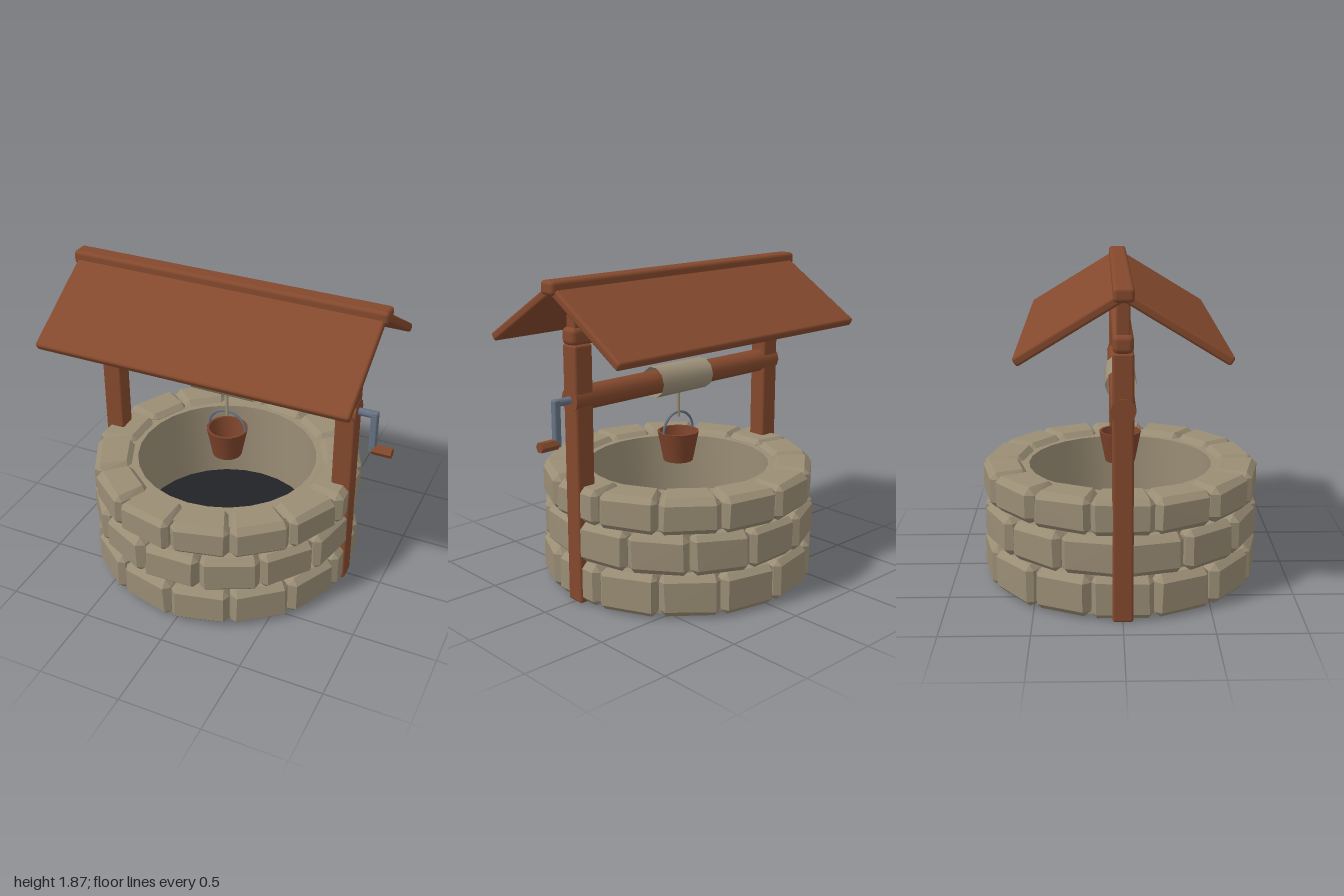
import * as THREE from 'three';
import { toCreasedNormals } from 'three/addons/utils/BufferGeometryUtils.js';
import { RoundedBoxGeometry } from 'three/addons/geometries/RoundedBoxGeometry.js';
import { ConvexGeometry } from 'three/addons/geometries/ConvexGeometry.js';

const CX = -0.035; // axis of the well

function paint(name, color, side = THREE.FrontSide) {
  const m = new THREE.MeshStandardMaterial({ color, side });
  m.name = name;
  return m;
}

export function createModel() {
  const root = new THREE.Group();
  root.name = 'well';
  const wood = paint('wood', 0x84492d);
  const bucketWood = paint('bucketWood', 0x7c432b, THREE.DoubleSide);
  const stone = paint('stone', 0x9a8d75);
  const ropeTan = paint('rope', 0x9c9078, THREE.DoubleSide);
  const metal = paint('metal', 0x667182);
  const dark = paint('darkWater', 0x222326, THREE.DoubleSide);

  const add = (name, geo, mat, x = 0, y = 0, z = 0, parent = root) => {
    const mesh = new THREE.Mesh(geo, mat);
    mesh.name = name;
    mesh.position.set(x, y, z);
    parent.add(mesh);
    return mesh;
  };
  const beam = (name, w, h, d, r, x, y, z) =>
    add(name, new RoundedBoxGeometry(w, h, d, 2, r), wood, x, y, z);
  // Faceted cylinder lying along x
  const rod = (r, len, sides, open = false) =>
    toCreasedNormals(new THREE.CylinderGeometry(r, r, len, sides, 1, open).rotateZ(Math.PI / 2), 0.85);

  let seed = 7;
  const jitter = (a) => {
    seed = (seed * 16807) % 2147483647;
    return (seed / 2147483647 - 0.5) * 2 * a;
  };

  // Chamfered wedge: every corner is cut into three points
  function stoneGeometry(angle, half, y0, y1, r0, r1) {
    const b = 0.035, pts = [];
    const ym = (y0 + y1) / 2, rm = (r0 + r1) / 2;
    for (const su of [-1, 1]) for (const sv of [-1, 1]) for (const sw of [-1, 1]) {
      const corner = jitter(0.006);
      for (let k = 0; k < 3; k++) {
        const cut = (i) => (k === i ? 0 : b + corner);
        const r = rm + sw * ((r1 - r0) / 2 - cut(2));
        const a = angle + su * (half - cut(0) / 0.8);
        const y = ym + sv * ((y1 - y0) / 2 - cut(1));
        pts.push(new THREE.Vector3(r * Math.sin(a), y, r * Math.cos(a)));
      }
    }
    return new ConvexGeometry(pts);
  }

  // Three staggered courses of stones
  const COUNT = 14, step = (Math.PI * 2) / COUNT;
  const rows = [[0.008, 0.253, 0.5], [0.257, 0.492, 0], [0.497, 0.705, 0.5]];
  rows.forEach(([y0, y1, shift], n) => {
    const course = new THREE.Group();
    course.name = 'stoneCourse' + (n + 1);
    course.position.x = CX;
    root.add(course);
    for (let i = 0; i < COUNT; i++) {
      const geo = stoneGeometry((i + shift) * step, step * 0.492,
        y0, y1 + jitter(0.004), 0.585, 0.822 + jitter(0.006));
      add('stone', geo, stone, 0, 0, 0, course);
    }
  });

  // Inner wall and the dark water inside it
  const profile = [[0.73, 0], [0.73, 0.675], [0.55, 0.675], [0.55, 0], [0.73, 0]]
    .map(([r, y]) => new THREE.Vector2(r, y));
  add('wall', toCreasedNormals(new THREE.LatheGeometry(profile, 28), 0.6), stone, CX);
  add('water', new THREE.CircleGeometry(0.56, 28).rotateX(-Math.PI / 2), dark, CX, 0.16);

  // Posts with short king posts above the tie beam
  for (const s of [-1, 1]) {
    const x = CX + s * 0.759;
    beam('post', 0.122, 1.51, 0.116, 0.015, x, 0.755, 0);
    beam('kingPost', 0.09, 0.28, 0.074, 0.01, x, 1.69, 0);
  }
  beam('tieBeam', 1.66, 0.1, 0.112, 0.03, CX, 1.555, 0);

  // Roof
  beam('ridge', 1.925, 0.078, 0.11, 0.022, -0.037, 1.832, 0);
  const slope = 0.555, drop = 0.338;
  for (const s of [-1, 1]) {
    const panel = beam('roofPanel', 1.88, 0.052, Math.hypot(slope, drop), 0.016,
      CX, 1.825 - drop / 2, s * slope / 2);
    panel.rotation.x = s * Math.atan2(drop, slope);
  }

  // Winding roller, rope coil and hanging rope
  add('roller', rod(0.07, 1.645, 10), wood, CX, 1.2);
  add('ropeCoil', rod(0.093, 0.405, 10, true), ropeTan, CX, 1.2);
  add('rope', new THREE.CylinderGeometry(0.01, 0.01, 0.17, 8), ropeTan, CX, 1.04);

  // Crank
  add('crankAxle', rod(0.023, 0.11, 8), metal, 0.835, 1.2);
  add('crankArm', new RoundedBoxGeometry(0.042, 0.27, 0.042, 2, 0.01), metal, 0.882, 1.085);
  add('crankGrip', rod(0.031, 0.116, 6), wood, 0.942, 0.97);

  // Bucket: hollow tapered shell with a hoop handle
  const shell = [[0, 0.685], [0.09, 0.685], [0.126, 0.868], [0.112, 0.868], [0.08, 0.7], [0, 0.7]]
    .map(([r, y]) => new THREE.Vector2(r, y));
  add('bucket', toCreasedNormals(new THREE.LatheGeometry(shell, 20), 0.6), bucketWood, CX);
  add('bucketHandle', new THREE.TorusGeometry(0.12, 0.008, 6, 24, Math.PI), metal, CX, 0.865);

  return root;
}
